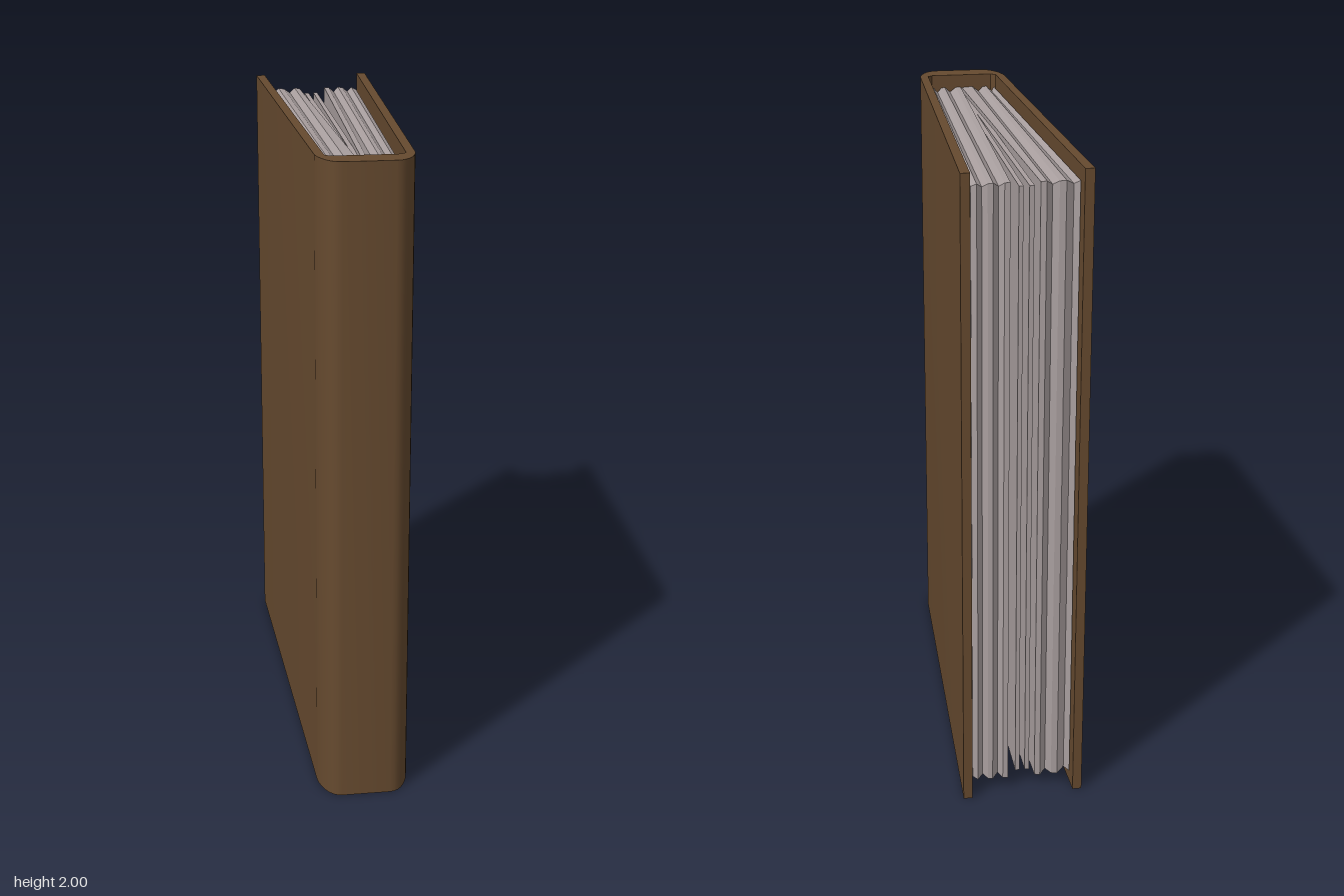
import * as THREE from 'three';
import { toCreasedNormals } from 'three/addons/utils/BufferGeometryUtils.js';

const HEIGHT = 2;

// Pleated stack of paper: each column is [x at fore edge, x at spine, inset of its rim]
function pleatedStack(columns) {
  const rings = columns.map(([xBack, xFront, d]) => {
    const low = 0.035 + d, high = HEIGHT - low, back = -0.66 + d, front = 0.612 - d;
    return [[xBack, high, back], [xBack, low, back], [xFront, low, front], [xFront, high, front]];
  });
  const pos = [];
  const quad = (a, b, c, d) => pos.push(...a, ...b, ...c, ...a, ...c, ...d);
  for (let i = 0; i < rings.length - 1; i++) {
    const p = rings[i], q = rings[i + 1];
    for (let k = 0; k < 4; k++) {
      const n = (k + 1) % 4;
      quad(p[k], q[k], q[n], p[n]);
    }
  }
  const first = rings[0], last = rings[rings.length - 1];
  quad(first[0], first[1], first[2], first[3]);
  quad(last[3], last[2], last[1], last[0]);
  const geo = new THREE.BufferGeometry();
  geo.setAttribute('position', new THREE.Float32BufferAttribute(pos, 3));
  geo.computeVertexNormals();
  return geo;
}

export function createModel() {
  const leather = new THREE.MeshStandardMaterial({ color: 0x664a2f });
  const paper = new THREE.MeshStandardMaterial({ color: 0xa99f9f, side: THREE.DoubleSide });
  const book = new THREE.Group();
  book.name = 'book';
  const add = (name, geo, mat) => {
    const mesh = new THREE.Mesh(geo, mat);
    mesh.name = name;
    book.add(mesh);
  };

  // Cover: one U-shaped outline (x, -z) with a rounded spine, extruded upwards
  const outline = new THREE.Shape();
  outline.moveTo(-0.187, 0.69);
  outline.lineTo(-0.142, -0.59);
  outline.bezierCurveTo(-0.137, -0.63, -0.115, -0.69, -0.075, -0.69);
  outline.lineTo(0.075, -0.69);
  outline.bezierCurveTo(0.115, -0.69, 0.137, -0.63, 0.142, -0.59);
  outline.lineTo(0.187, 0.69);
  outline.lineTo(0.159, 0.69);
  outline.lineTo(0.115, -0.595);
  outline.lineTo(0.1, -0.61);
  outline.lineTo(-0.1, -0.61);
  outline.lineTo(-0.115, -0.595);
  outline.lineTo(-0.159, 0.69);
  outline.closePath();
  const cover = new THREE.ExtrudeGeometry(outline, { depth: HEIGHT, bevelEnabled: false, curveSegments: 8 });
  cover.rotateX(-Math.PI / 2);
  add('cover', toCreasedNormals(cover, 0.6), leather);

  // Two thick stacks of pages leaning apart
  add('leftPages', pleatedStack([
    [0.042, 0.004, 0.005], [0.058, 0.02, 0.006], [0.073, 0.042, 0.018], [0.09, 0.058, 0.005],
    [0.105, 0.07, 0.007], [0.12, 0.084, 0.018], [0.136, 0.096, 0.006], [0.152, 0.11, 0.014],
  ]), paper);
  add('rightPages', pleatedStack([
    [-0.155, -0.11, 0.008], [-0.138, -0.1, 0.019], [-0.115, -0.084, 0.005], [-0.096, -0.07, 0.007],
    [-0.078, -0.055, 0.018], [-0.06, -0.036, 0.005], [-0.043, 0, 0.007],
  ]), paper);

  // Two loose leaves standing in the gap
  add('looseLeafRight', pleatedStack([[-0.028, -0.014, 0.02], [-0.014, 0.004, 0.02]]), paper);
  add('looseLeafLeft', pleatedStack([[0.003, -0.002, 0.02], [0.016, 0.014, 0.02]]), paper);
  return book;
}
